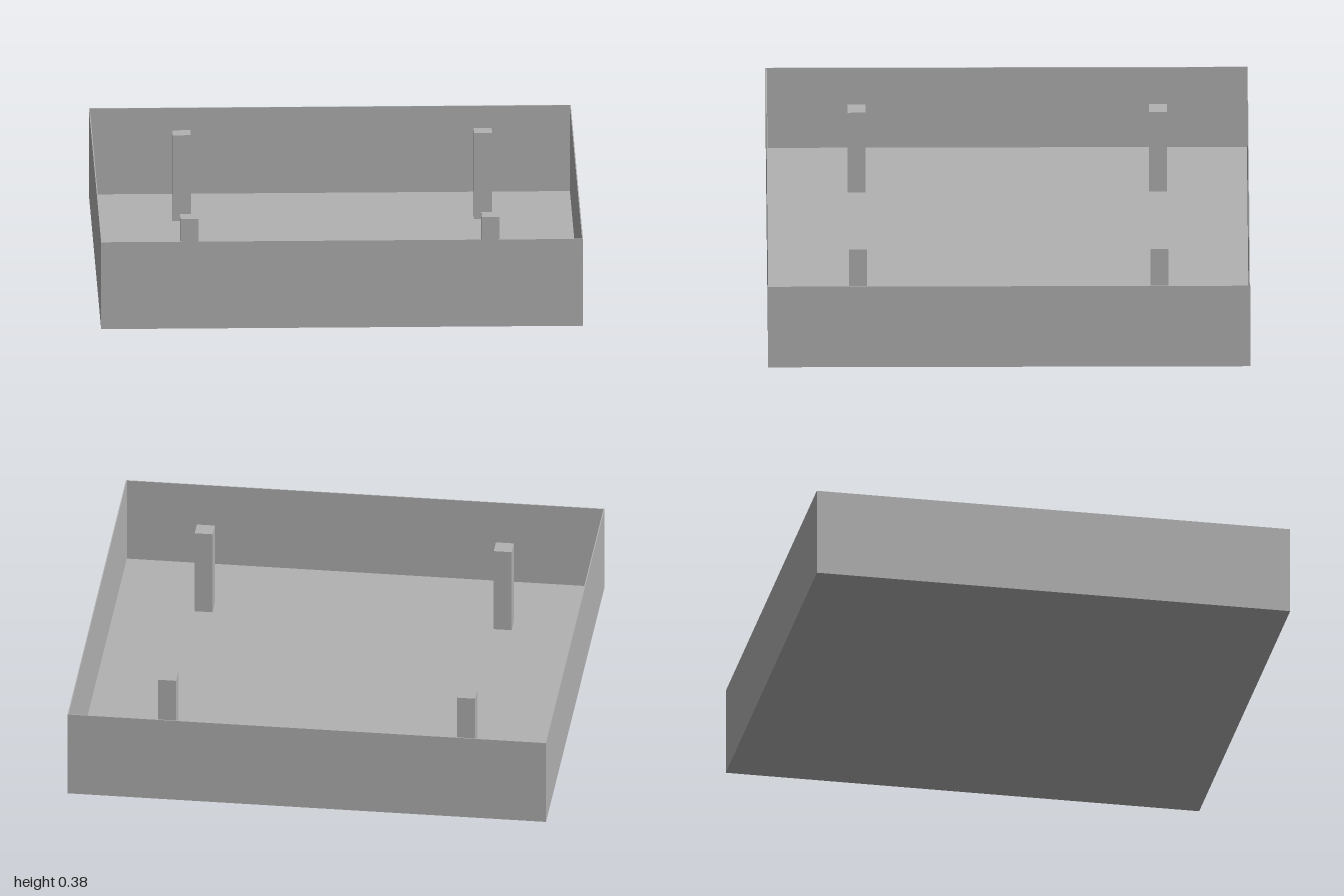
import * as THREE from 'three';

export function createModel() {
  const group = new THREE.Group();
  const grey = new THREE.MeshStandardMaterial({ color: 0xb2b2b2 });
  grey.name = 'plain grey';

  const H = 0.375; // tray height
  const T = 0.004; // sheet thickness

  function addBox(name, w, h, d, x, y, z) {
    const mesh = new THREE.Mesh(new THREE.BoxGeometry(w, h, d), grey);
    mesh.name = name;
    mesh.position.set(x, y, z);
    group.add(mesh);
  }

  // Floor sheet
  addBox('floor', 2, T, 2, 0, T / 2, 0);

  // Thin walls, standing on the floor sheet
  const wallH = H - T;
  const wallY = T + wallH / 2;
  const edge = 1 - T / 2;
  addBox('frontWall', 2, wallH, T, 0, wallY, edge);
  addBox('backWall', 2, wallH, T, 0, wallY, -edge);
  addBox('leftWall', T, wallH, 2 - 2 * T, edge, wallY, 0);
  addBox('rightWall', T, wallH, 2 - 2 * T, -edge, wallY, 0);

  // Four square posts, level with the wall tops
  for (const x of [-0.625, 0.625]) {
    for (const z of [-0.625, 0.625]) {
      const name = (z > 0 ? 'front' : 'back') + (x > 0 ? 'Left' : 'Right') + 'Post';
      addBox(name, 0.075, wallH, 0.075, x, wallY, z);
    }
  }
  return group;
}
